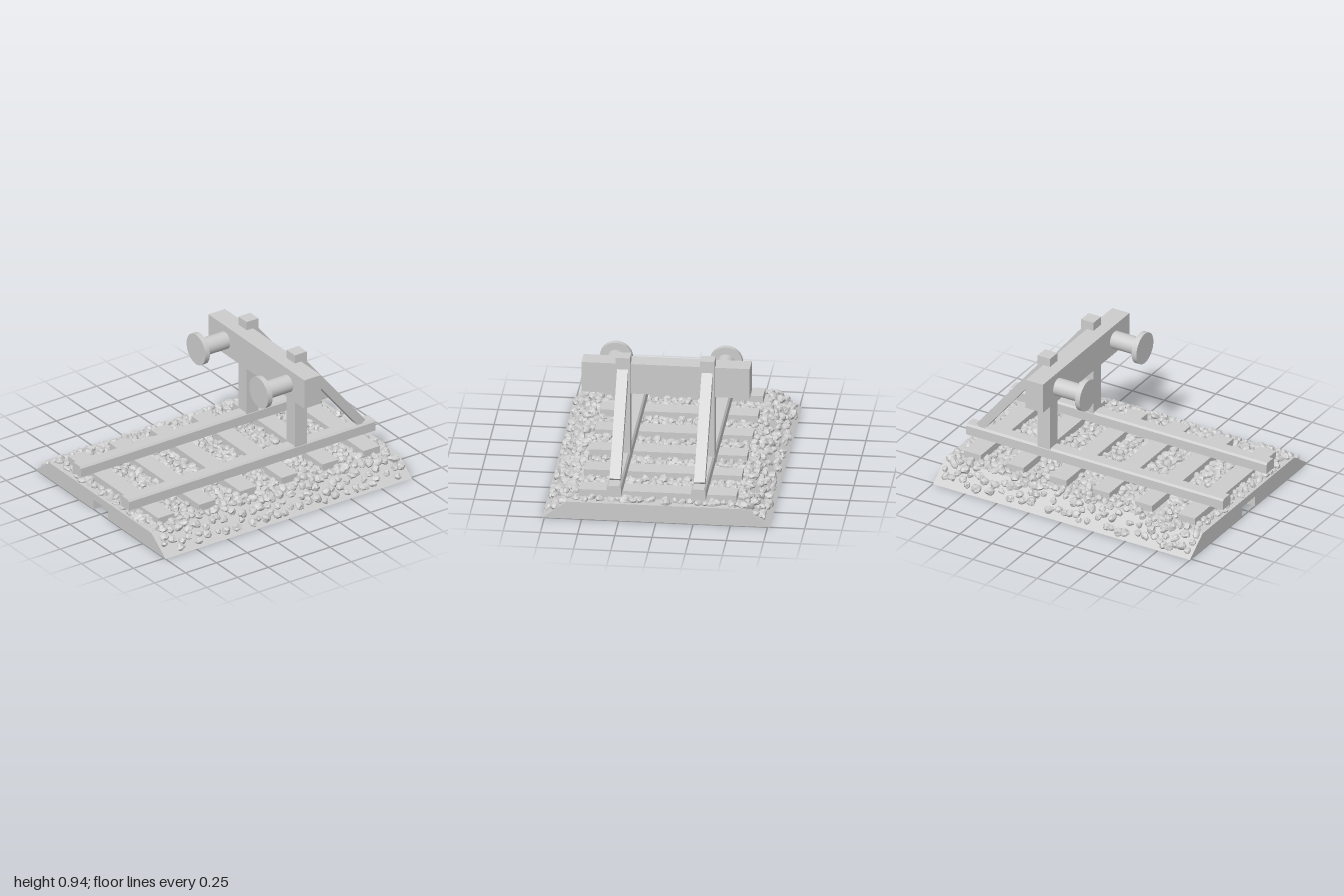
import * as THREE from 'three';
import { mergeGeometries } from 'three/addons/utils/BufferGeometryUtils.js';

const stoneGrey = new THREE.MeshStandardMaterial({ color: 0xcccccc });
stoneGrey.name = 'light grey';

const BOTTOM = 0.007, TOP = 0.13, FOOT = 0.765, CREST = 0.6;
const slopeZ = y => FOOT - (y - BOTTOM) / (TOP - BOTTOM) * (FOOT - CREST);
const sleeperXs = [-0.833, -0.5, -0.167, 0.167, 0.5, 0.833];

function makeRandom(seed) {
  return () => {
    seed = (seed * 1664525 + 1013904223) % 4294967296;
    return seed / 4294967296;
  };
}

function add(parent, name, geometry, x = 0, y = 0, z = 0) {
  const mesh = new THREE.Mesh(geometry, stoneGrey);
  mesh.name = name;
  mesh.position.set(x, y, z);
  parent.add(mesh);
  return mesh;
}

// Box given by its limits
function addBlock(parent, name, x0, x1, y0, y1, z0, z1) {
  return add(parent, name, new THREE.BoxGeometry(x1 - x0, y1 - y0, z1 - z0),
    (x0 + x1) / 2, (y0 + y1) / 2, (z0 + z1) / 2);
}

// Horizontal layer of the bed, with its long sides pulled in to the slope
function bedLayer(y0, y1, slotted) {
  const s = new THREE.Shape();
  s.moveTo(-1, -FOOT);
  s.lineTo(1, -FOOT);
  s.lineTo(1, FOOT);
  s.lineTo(-1, FOOT);
  if (slotted) {
    const r = 0.13, half = 0.085, a = Math.PI - Math.asin(half / r);
    s.lineTo(-1, half);
    s.absarc(-0.77, 0, r, a, -a, true);
    s.lineTo(-1, -half);
  }
  const g = new THREE.ExtrudeGeometry(s, { depth: y1 - y0, bevelEnabled: false, curveSegments: 32 });
  g.rotateX(-Math.PI / 2).translate(0, y0, 0);
  const p = g.attributes.position;
  for (let i = 0; i < p.count; i++) {
    if (Math.abs(p.getZ(i)) > 0.5) p.setZ(i, Math.sign(p.getZ(i)) * slopeZ(p.getY(i)));
  }
  g.computeVertexNormals();
  return g;
}

// Faceted lump, dented by a smooth rule so that shared corners stay together
function rock(k) {
  const g = new THREE.IcosahedronGeometry(1, 1);
  const p = g.attributes.position, v = new THREE.Vector3();
  for (let i = 0; i < p.count; i++) {
    v.fromBufferAttribute(p, i);
    const f = 1 + 0.13 * Math.sin(3.1 * v.x + k * 1.7) + 0.12 * Math.sin(4.3 * v.y + 2 * v.z + k * 2.3)
      + 0.1 * Math.sin(5.2 * v.z - 3 * v.x + k);
    p.setXYZ(i, v.x * f, v.y * f, v.z * f);
  }
  return g;
}

function ballastGeometry() {
  const rnd = makeRandom(71), rocks = [0, 1, 2, 3, 4, 5].map(rock);
  const placed = [], stones = [];
  const m = new THREE.Matrix4(), q = new THREE.Quaternion(), e = new THREE.Euler();
  for (let tries = 0; tries < 9000 && placed.length < 620; tries++) {
    const x = (rnd() * 2 - 1) * 0.965, z = (rnd() * 2 - 1) * 0.735, az = Math.abs(z);
    const size = 0.022 + rnd() * 0.012;
    if (az > 0.67 && rnd() < 0.5) continue;
    if (az < 0.545 && sleeperXs.some(sx => Math.abs(sx - x) < 0.078)) continue;
    if (placed.some(o => Math.hypot(o[0] - x, o[1] - z) < 0.042)) continue;
    placed.push([x, z]);
    // Stones lie on the flat crest or on the sloping shoulders
    const ground = az < CREST ? TOP : TOP - (az - CREST) / (FOOT - CREST) * (TOP - BOTTOM);
    const y = Math.max(ground + 0.006, size * 1.05);
    e.set((rnd() - 0.5) * 0.8, rnd() * 6.28, (rnd() - 0.5) * 0.8);
    m.compose(new THREE.Vector3(x, y, z), q.setFromEuler(e),
      new THREE.Vector3(size * 1.15, size * 0.85, size * (0.75 + rnd() * 0.3)));
    stones.push(rocks[Math.floor(rnd() * rocks.length)].clone().applyMatrix4(m));
  }
  const g = mergeGeometries(stones);
  g.computeVertexNormals();
  return g;
}

// Rail with chamfered head, running along x
function railGeometry() {
  const w = 0.0485, s = new THREE.Shape();
  [[-w, 0.18], [w, 0.18], [w, 0.245], [w - 0.011, 0.259], [0.011 - w, 0.259], [-w, 0.245]]
    .forEach(([a, b], i) => (i ? s.lineTo(a, b) : s.moveTo(a, b)));
  return new THREE.ExtrudeGeometry(s, { depth: 2, bevelEnabled: false })
    .translate(0, 0, -1).rotateY(Math.PI / 2);
}

// Slanted strut as a side profile extruded across the track
function braceGeometry() {
  const s = new THREE.Shape();
  s.moveTo(0.45, 0.87);
  s.lineTo(0.402, 0.831);
  s.lineTo(0.877, 0.24);
  s.lineTo(0.925, 0.279);
  s.closePath();
  return new THREE.ExtrudeGeometry(s, { depth: 0.074, bevelEnabled: false }).translate(0, 0, -0.037);
}

export function createModel() {
  const model = new THREE.Group();
  model.name = 'trackBufferStop';

  // Bed with a coupling pocket under one end
  const bed = new THREE.Group();
  bed.name = 'ballastBed';
  model.add(bed);
  add(bed, 'lowerBed', bedLayer(BOTTOM, 0.08, true));
  add(bed, 'upperBed', bedLayer(0.08, TOP, false));
  add(bed, 'ballastStones', ballastGeometry());

  // Track
  for (const x of sleeperXs) addBlock(model, 'sleeper', x - 0.066, x + 0.066, 0.12, 0.181, -0.53, 0.53);

  // Cross beam
  addBlock(model, 'bufferBeam', 0.263, 0.397, 0.673, 0.888, -0.565, 0.565);

  // Mirrored parts
  for (const side of [-1, 1]) {
    const z = side * 0.284;
    add(model, 'rail', railGeometry(), 0, 0, z);
    addBlock(model, 'post', 0.346, 0.443, 0.25, 0.949, z - 0.0485, z + 0.0485);
    add(model, 'brace', braceGeometry(), 0, 0, z);
    const barrel = new THREE.CylinderGeometry(0.061, 0.061, 0.22, 40).rotateZ(Math.PI / 2);
    add(model, 'bufferBarrel', barrel, 0.165, 0.78, side * 0.37);
    const plate = new THREE.CylinderGeometry(0.111, 0.111, 0.037, 48).rotateZ(Math.PI / 2);
    add(model, 'bufferPlate', plate, 0.0455, 0.78, side * 0.37);
  }
  return model;
}
